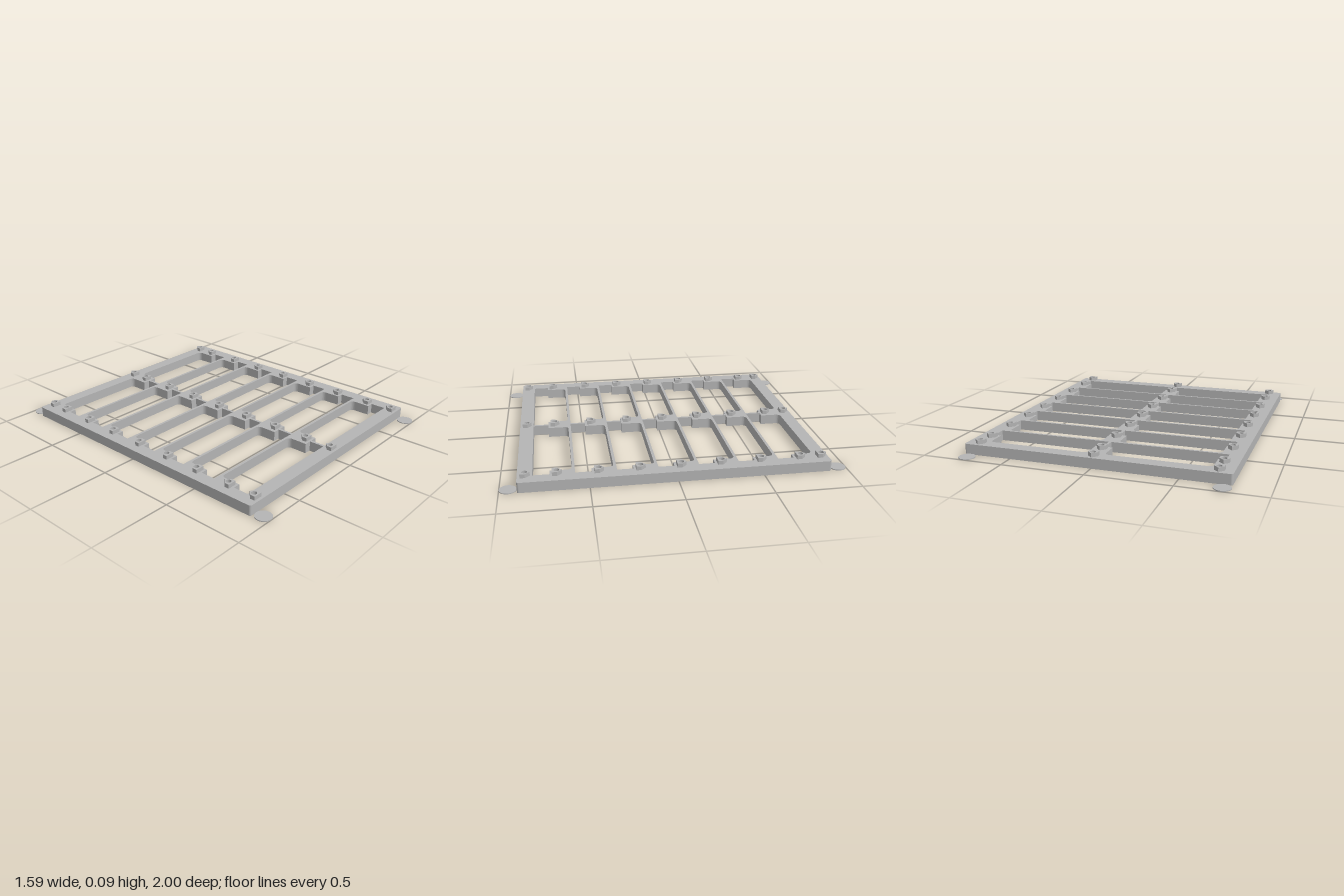
import * as THREE from 'three';

const HALF_W = 0.79, HALF_D = 0.9, HEIGHT = 0.062, PEG_TOP = 0.086;
const PITCH = 0.2357, HOLE_R = 0.016;
const PEG_X = [-0.709, 0, 0.709];
const PEG_Z = [-0.86, ...Array.from({ length: 7 }, (_, i) => -0.734 + i * PITCH), 0.857];

// Plan outlines are drawn with y = -z, then laid flat and raised.
function extrudeUp(shape, bottom, top) {
  const g = new THREE.ExtrudeGeometry(shape, { depth: top - bottom, bevelEnabled: false, curveSegments: 10 });
  g.rotateX(-Math.PI / 2);
  g.translate(0, bottom, 0);
  return g;
}

function roundHole(x, z) {
  const p = new THREE.Path();
  p.absarc(x, -z, HOLE_R, 0, Math.PI * 2, true);
  return p;
}

// Window: narrow between the tabs with rounded corners at the back, wider in front of them.
function windowHole(side, back, tabEnd, front) {
  const r = 0.03, a = 0.008, b = 0.052, c = 0.666, d = 0.71;
  const p = new THREE.Path();
  const X = (x) => x * side;
  p.moveTo(X(a), -front);
  p.lineTo(X(a), -tabEnd);
  p.lineTo(X(b), -tabEnd);
  p.lineTo(X(b), -(back + r));
  p.quadraticCurveTo(X(b), -back, X(b + r), -back);
  p.lineTo(X(c - r), -back);
  p.quadraticCurveTo(X(c), -back, X(c), -(back + r));
  p.lineTo(X(c), -tabEnd);
  p.lineTo(X(d), -tabEnd);
  p.lineTo(X(d), -front);
  p.closePath();
  return p;
}

function frameShape() {
  const s = new THREE.Shape(), w = HALF_W, d = HALF_D, r = 0.012;
  s.absarc(w - r, d - r, r, 0, Math.PI / 2);
  s.absarc(-w + r, d - r, r, Math.PI / 2, Math.PI);
  s.absarc(-w + r, -d + r, r, Math.PI, Math.PI * 1.5);
  s.absarc(w - r, -d + r, r, Math.PI * 1.5, Math.PI * 2);
  s.closePath();
  for (let i = 0; i < 7; i++) {
    const divider = -0.593 + i * PITCH;
    const back = i === 0 ? -0.82 : divider - PITCH + 0.008;
    const front = i === 6 ? 0.815 : divider - 0.008;
    for (const side of [-1, 1]) s.holes.push(windowHole(side, back, -0.694 + i * PITCH, front));
  }
  for (const x of PEG_X) for (const z of PEG_Z) s.holes.push(roundHole(x, z));
  return s;
}

// House-shaped peg, its point towards the back
function pegShape() {
  const s = new THREE.Shape();
  s.moveTo(-0.028, -0.026);
  s.lineTo(0.028, -0.026);
  s.lineTo(0.028, 0.003);
  s.lineTo(0, 0.03);
  s.lineTo(-0.028, 0.003);
  s.closePath();
  s.holes.push(roundHole(0, 0));
  return s;
}

export function createModel() {
  const model = new THREE.Group();
  model.name = 'slottedRack';
  const grey = new THREE.MeshStandardMaterial({ color: 0xb4b4b4 });
  grey.name = 'plainGrey';

  const add = (geometry, name, x = 0, y = 0, z = 0) => {
    const m = new THREE.Mesh(geometry, grey);
    m.name = name;
    m.position.set(x, y, z);
    model.add(m);
  };

  // Frame with dividers, spine and tabs
  add(extrudeUp(frameShape(), 0, HEIGHT), 'frame');

  // Hollow pegs
  const peg = extrudeUp(pegShape(), HEIGHT, PEG_TOP);
  for (const x of PEG_X) for (const z of PEG_Z) add(peg, 'peg', x, 0, z);

  // Thin round pads at the corners
  const pad = new THREE.CylinderGeometry(0.049, 0.049, 0.005, 32);
  for (const x of [-0.746, 0.746]) for (const z of [-0.951, 0.951]) add(pad, 'cornerPad', x, 0.0025, z);

  return model;
}
